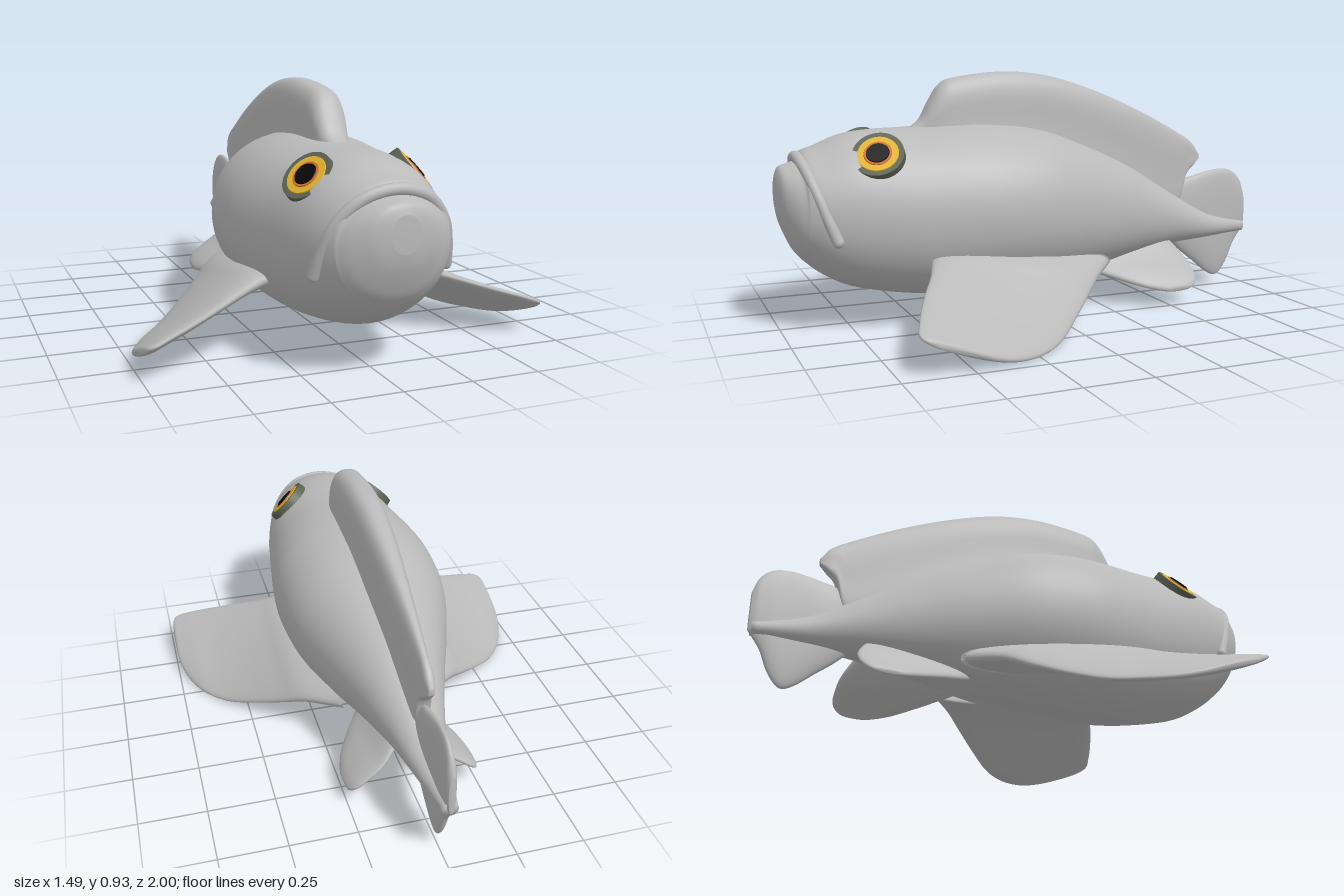
import * as THREE from 'three';

const V = (x, y, z) => new THREE.Vector3(x, y, z);
const mat = (name, color) => {
  const m = new THREE.MeshStandardMaterial({ color });
  m.name = name;
  return m;
};

// Catmull-Rom blend of whole stations (arrays of numbers)
function sample(stations, t) {
  const last = stations.length - 1;
  const i = Math.min(Math.floor(t * last), last - 1), f = t * last - i;
  const at = (k) => stations[Math.max(0, Math.min(last, k))];
  return at(i).map((b, k) => {
    const a = at(i - 1)[k], c = at(i + 1)[k], d = at(i + 2)[k];
    return b + 0.5 * f * (c - a + f * (2 * a - 5 * b + 4 * c - d + f * (3 * (b - c) + d - a)));
  });
}

// Closed smooth skin over rings; frame(station) gives centre c and half axes u, v
function loft(stations, frame, { power = 2, flare = 0, ring = 40, steps = 5 } = {}) {
  const rows = (stations.length - 1) * steps, pos = [], idx = [];
  const bend = (a) => Math.sign(a) * Math.abs(a) ** (2 / power);
  let first, final;
  for (let r = 0; r <= rows; r++) {
    const { c, u, v } = frame(sample(stations, r / rows));
    if (r === 0) first = c;
    final = c;
    for (let j = 0; j < ring; j++) {
      const a = (j / ring) * Math.PI * 2, s = bend(Math.sin(a));
      const wide = 1 + flare * Math.max(0, -s) ** 2;
      pos.push(...c.clone().addScaledVector(u, bend(Math.cos(a)) * wide).addScaledVector(v, s).toArray());
    }
  }
  const n = (rows + 1) * ring;
  pos.push(...first.toArray(), ...final.toArray());
  for (let j = 0; j < ring; j++) {
    const k = (j + 1) % ring;
    for (let r = 0; r < rows; r++) {
      const a = r * ring + j, b = r * ring + k;
      idx.push(a, b, a + ring, b, b + ring, a + ring);
    }
    idx.push(n, k, j, n + 1, rows * ring + j, rows * ring + k);
  }
  // turn the faces outward when the enclosed volume is negative
  const p = (i) => V(pos[i * 3], pos[i * 3 + 1], pos[i * 3 + 2]).sub(first);
  let volume = 0;
  for (let i = 0; i < idx.length; i += 3) volume += p(idx[i]).dot(p(idx[i + 1]).cross(p(idx[i + 2])));
  if (volume < 0) idx.reverse();
  const g = new THREE.BufferGeometry();
  g.setAttribute('position', new THREE.Float32BufferAttribute(pos, 3));
  g.setIndex(idx);
  g.computeVertexNormals();
  return g;
}

// station: z, bottom y, top y, half width
const upright = ([z, low, high, w]) => ({ c: V(0, (low + high) / 2, z), u: V(w, 0, 0), v: V(0, (high - low) / 2, 0) });

// station: x, front y, front z, back y, back z, half thickness
const blade = (side) => ([x, fy, fz, by, bz, t]) => {
  const u = V(0, (fy - by) / 2, (fz - bz) / 2);
  const v = V(0.95 * side, -0.3, 0).cross(u).normalize().multiplyScalar(t);
  return { c: V(x * side, (fy + by) / 2, (fz + bz) / 2), u, v };
};

export function createModel() {
  const fish = new THREE.Group();
  fish.name = 'fish';
  const skin = mat('grey skin', 0xbababa);
  const add = (name, geometry, material = skin, parent = fish) => {
    const m = new THREE.Mesh(geometry, material);
    m.name = name;
    parent.add(m);
    return m;
  };

  // Body from the protruding jaw to the tail root
  add('body', loft([
    [1.0, 0.45, 0.57, 0.05], [0.985, 0.39, 0.605, 0.11], [0.95, 0.31, 0.618, 0.165],
    [0.92, 0.27, 0.63, 0.195], [0.905, 0.255, 0.66, 0.208], [0.85, 0.21, 0.68, 0.235],
    [0.76, 0.16, 0.715, 0.262], [0.65, 0.13, 0.73, 0.285], [0.5, 0.105, 0.735, 0.308],
    [0.35, 0.095, 0.745, 0.328], [0.2, 0.1, 0.745, 0.338], [0, 0.11, 0.72, 0.318],
    [-0.2, 0.135, 0.65, 0.255], [-0.4, 0.17, 0.56, 0.18], [-0.6, 0.205, 0.44, 0.113],
    [-0.8, 0.22, 0.33, 0.062], [-0.99, 0.235, 0.285, 0.028],
  ], upright, { power: 2.1, ring: 56, steps: 6 }));

  // Dorsal fin, thick in front and thin behind, flared into the back
  add('dorsalFin', loft([
    [0.52, 0.66, 0.72, 0.03], [0.46, 0.65, 0.76, 0.048], [0.42, 0.64, 0.83, 0.06],
    [0.38, 0.63, 0.89, 0.067], [0.32, 0.63, 0.917, 0.071], [0.13, 0.63, 0.937, 0.072],
    [-0.06, 0.6, 0.92, 0.067], [-0.26, 0.53, 0.862, 0.056], [-0.46, 0.43, 0.78, 0.042],
    [-0.62, 0.36, 0.7, 0.03], [-0.67, 0.38, 0.672, 0.026], [-0.7, 0.49, 0.655, 0.023],
    [-0.735, 0.53, 0.627, 0.019], [-0.765, 0.56, 0.585, 0.01],
  ], upright, { power: 2.6, flare: 0.7 }));

  // Tail fin with a round upper lobe and a pointed lower lobe
  add('tailFin', loft([
    [-0.6, 0.25, 0.36, 0.02], [-0.68, 0.175, 0.465, 0.028], [-0.75, 0.12, 0.49, 0.03],
    [-0.82, 0.065, 0.506, 0.027], [-0.87, 0.05, 0.512, 0.025], [-0.915, 0.1, 0.508, 0.024],
    [-0.95, 0.18, 0.492, 0.022], [-0.98, 0.225, 0.458, 0.02], [-1.0, 0.25, 0.4, 0.012],
  ], upright, { power: 2.3 }));

  const rim = mat('olive eye rim', 0x5d6354), iris = mat('yellow iris', 0xe3b42c);
  const inner = mat('orange inner iris', 0xd0702a), black = mat('black pupil', 0x0a0808);

  for (const side of [1, -1]) {
    const label = side > 0 ? 'left' : 'right';

    // Broad pectoral fin, swept forward with its front edge raised
    add(label + 'PectoralFin', loft([
      [0.18, 0.29, 0.47, 0.19, -0.26, 0.06], [0.3, 0.265, 0.51, 0.165, -0.15, 0.05],
      [0.38, 0.24, 0.54, 0.12, -0.07, 0.038], [0.48, 0.21, 0.59, 0.065, 0.03, 0.03],
      [0.58, 0.18, 0.635, 0.022, 0.13, 0.026], [0.66, 0.157, 0.665, 0.01, 0.23, 0.023],
      [0.71, 0.14, 0.68, 0.015, 0.33, 0.02], [0.737, 0.125, 0.665, 0.035, 0.42, 0.015],
      [0.745, 0.1, 0.62, 0.06, 0.49, 0.006],
    ], blade(side), { power: 2.3 }));

    // Small pelvic fin, splayed outward and down
    add(label + 'PelvicFin', loft([
      [0.05, 0.18, -0.12, 0.25, -0.58, 0.04], [0.12, 0.14, -0.23, 0.18, -0.625, 0.03],
      [0.18, 0.11, -0.32, 0.135, -0.635, 0.024], [0.225, 0.085, -0.4, 0.1, -0.63, 0.018],
      [0.247, 0.07, -0.47, 0.075, -0.6, 0.012], [0.252, 0.066, -0.5, 0.068, -0.56, 0.005],
    ], blade(side), { power: 2.3 }));

    // Eye: stacked discs set into the sloping side of the head
    const eye = new THREE.Group();
    eye.name = label + 'Eye';
    eye.position.set(0.193 * side, 0.652, 0.667);
    eye.quaternion.setFromUnitVectors(V(0, 1, 0), V(0.68 * side, 0.66, 0.3).normalize());
    fish.add(eye);
    [['eyeRim', 0.096, rim], ['iris', 0.076, iris], ['innerIris', 0.052, inner], ['pupil', 0.043, black]]
      .forEach(([name, r, m], i) => {
        const h = i ? 0.006 : 0.035;
        add(name, new THREE.CylinderGeometry(r - 0.003, r, h, 40), m, eye).position.y = 0.01 + i * 0.003 - h / 2;
      });
  }

  // Upper lip, a downturned arc over the jaw
  const arc = [[0.238, 0.36, 0.825], [0.222, 0.44, 0.855], [0.19, 0.53, 0.885], [0.115, 0.61, 0.912]];
  const points = [...arc.map(([x, y, z]) => V(-x, y, z)), V(0, 0.64, 0.922),
    ...arc.slice().reverse().map(([x, y, z]) => V(x, y, z))];
  add('upperLip', new THREE.TubeGeometry(new THREE.CatmullRomCurve3(points), 60, 0.021, 12));
  for (const s of [1, -1]) add('lipCorner', new THREE.SphereGeometry(0.021, 12, 8)).position.set(0.238 * s, 0.36, 0.825);

  return fish;
}
